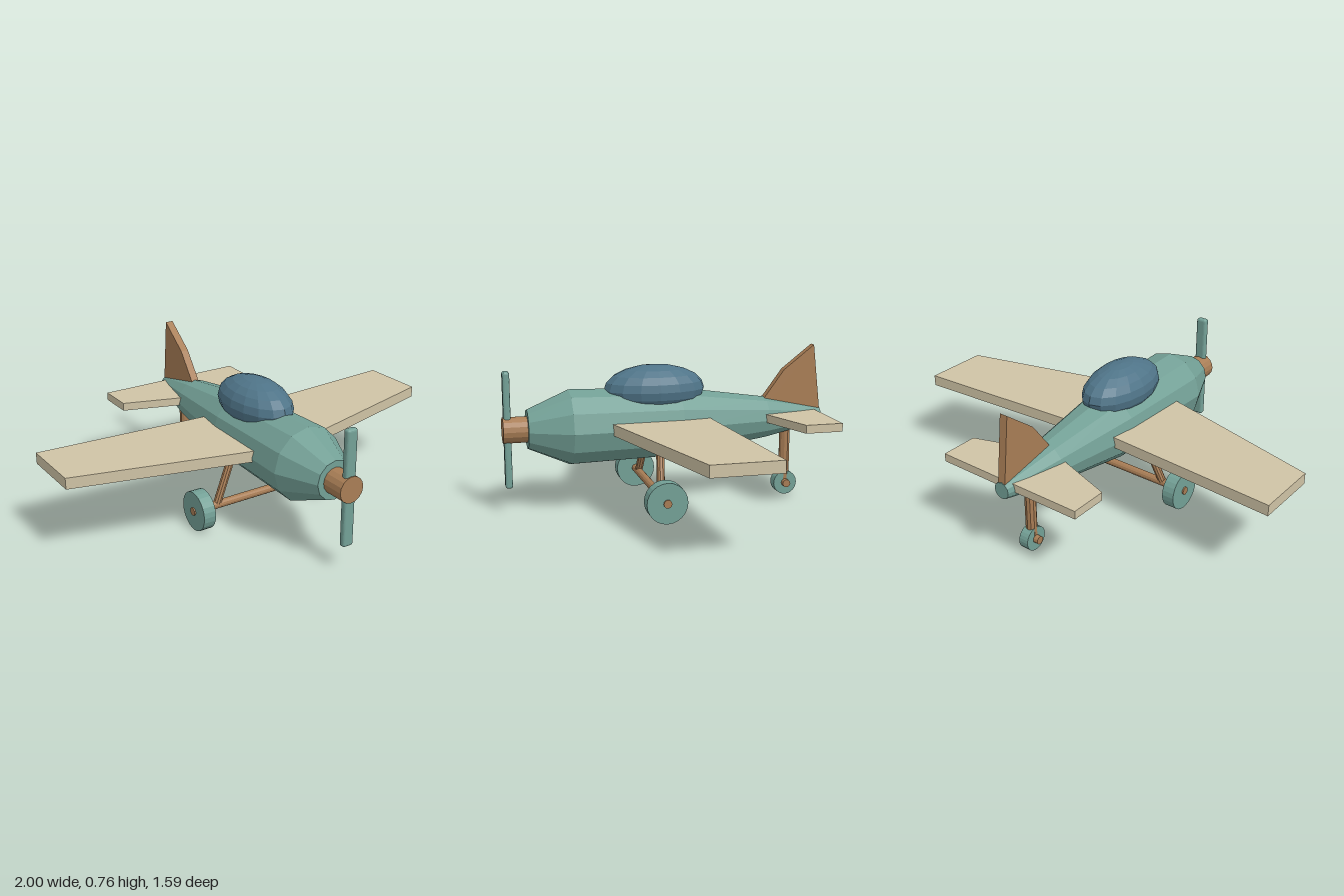
import * as THREE from 'three';
import { RoundedBoxGeometry } from 'three/addons/geometries/RoundedBoxGeometry.js';

const paint = (color) => new THREE.MeshStandardMaterial({ color, flatShading: true });

export function createModel() {
  const plane = new THREE.Group();
  plane.name = 'toyPlane';
  const green = paint(0x73a096), wood = paint(0xa87d55);
  const cream = paint(0xcfc3a5), blue = paint(0x4f7488);

  const add = (name, geometry, material, x = 0, y = 0, z = 0) => {
    const mesh = new THREE.Mesh(geometry, material);
    mesh.name = name;
    mesh.position.set(x, y, z);
    plane.add(mesh);
    return mesh;
  };

  // Rod between two points
  const rod = (name, a, b, radius, sides = 10) => {
    const from = new THREE.Vector3(...a), to = new THREE.Vector3(...b);
    const dir = to.clone().sub(from);
    const mesh = add(name, new THREE.CylinderGeometry(radius, radius, dir.length(), sides), wood);
    mesh.position.copy(from).add(to).multiplyScalar(0.5);
    mesh.quaternion.setFromUnitVectors(new THREE.Vector3(0, 1, 0), dir.normalize());
  };

  const wheel = (name, radius, width, x, y, z) =>
    add(name, new THREE.CylinderGeometry(radius, radius, width, 24).rotateZ(Math.PI / 2), green, x, y, z);

  // Flat surface mirrored across x = 0; half outline given as [x, z] from leading edge to trailing edge
  const mirroredSlab = (name, half, bottom, thickness) => {
    const outline = [...half, ...half.slice().reverse().map(([x, z]) => [-x, z])];
    const shape = new THREE.Shape(outline.map(([x, z]) => new THREE.Vector2(x, -z)));
    const geometry = new THREE.ExtrudeGeometry(shape, { depth: thickness, bevelEnabled: false });
    add(name, geometry.rotateX(-Math.PI / 2), cream, 0, bottom, 0);
  };

  // Fuselage: twelve-sided body turned along z
  const profile = [[0, -0.795], [0.04, -0.795], [0.104, -0.5], [0.17, -0.05], [0.183, 0.48], [0.095, 0.68], [0, 0.68]]
    .map(([r, z]) => new THREE.Vector2(r, z));
  add('fuselage', new THREE.LatheGeometry(profile, 12).rotateX(Math.PI / 2), green, 0, 0.402, 0);

  // Canopy
  add('canopy', new THREE.SphereGeometry(1, 16, 10).scale(0.142, 0.12, 0.25), blue, 0, 0.57, 0.06);

  // Nose hub and propeller
  add('noseHub', new THREE.CylinderGeometry(0.063, 0.063, 0.125, 16).rotateX(Math.PI / 2), wood, 0, 0.402, 0.7325);
  add('propeller', new RoundedBoxGeometry(0.056, 0.56, 0.034, 2, 0.012), green, 0, 0.402, 0.773);

  // Wings and tailplane
  mirroredSlab('wings', [[0.16, 0.3], [1, 0.08], [1, -0.24], [0.14, -0.183]], 0.386, 0.054);
  mirroredSlab('tailplane', [[0.08, -0.475], [0.383, -0.577], [0.383, -0.76], [0.03, -0.76]], 0.394, 0.04);

  // Tail fin, outlined as z, y
  const fin = new THREE.Shape([[-0.49, 0.44], [-0.5, 0.505], [-0.6, 0.64], [-0.755, 0.76], [-0.793, 0.43]]
    .map(([z, y]) => new THREE.Vector2(z, y)));
  const finGeometry = new THREE.ExtrudeGeometry(fin, { depth: 0.04, bevelEnabled: false });
  add('tailFin', finGeometry.rotateY(-Math.PI / 2), wood, 0.02, 0, 0);

  // Main landing gear
  rod('axle', [-0.377, 0.098, 0.087], [0.377, 0.098, 0.087], 0.02, 12);
  for (const [side, s] of [['left', 1], ['right', -1]]) {
    wheel(side + 'Wheel', 0.098, 0.064, s * 0.338, 0.098, 0.087);
    rod(side + 'Strut', [s * 0.24, 0.1, 0.087], [s * 0.13, 0.34, 0.064], 0.02);
  }

  // Tail wheel
  rod('tailStrut', [0, 0.06, -0.617], [0, 0.37, -0.617], 0.027);
  rod('tailAxle', [-0.05, 0.06, -0.617], [0.05, 0.06, -0.617], 0.02, 12);
  wheel('tailWheel', 0.06, 0.05, 0, 0.06, -0.617);

  return plane;
}
